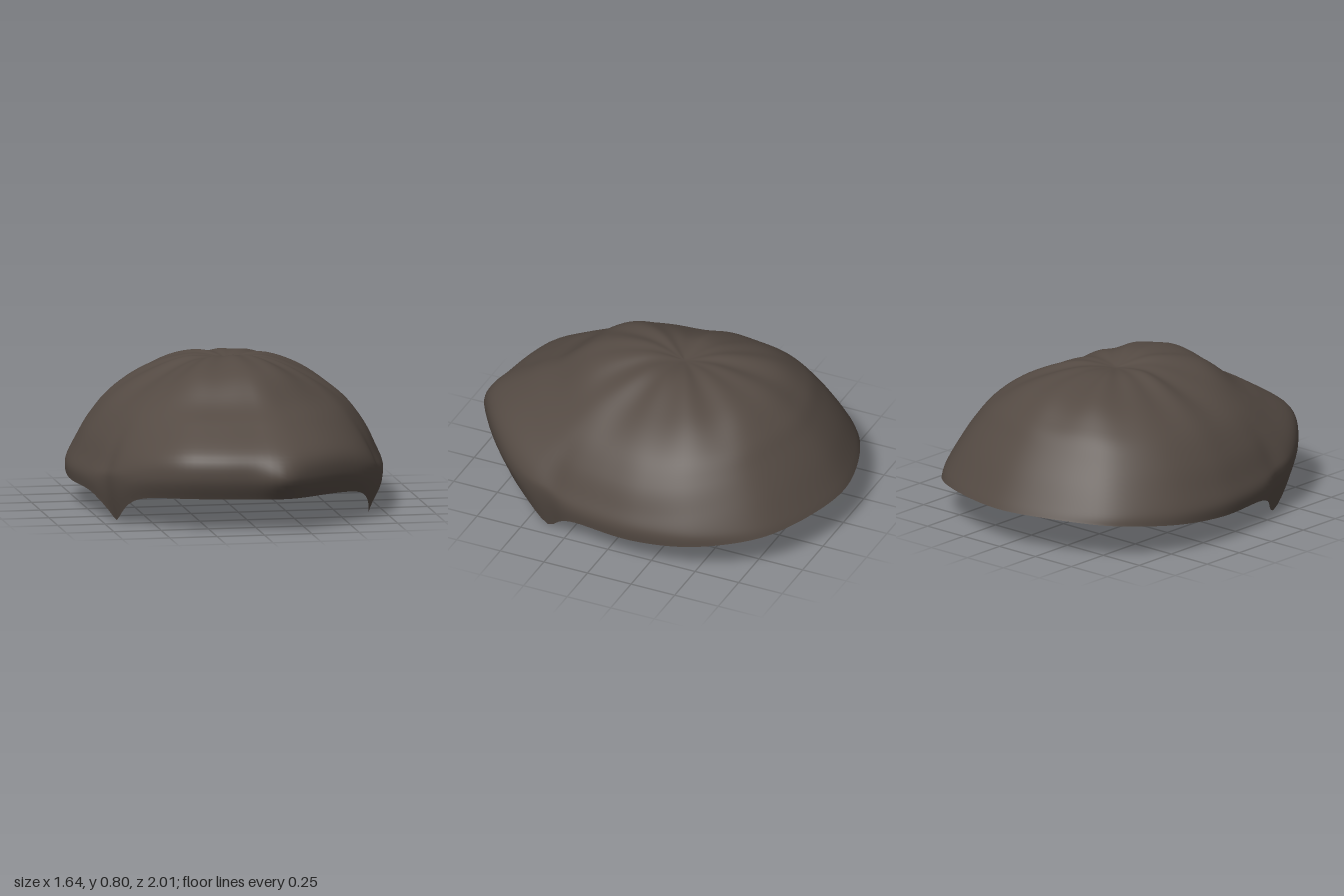
import * as THREE from 'three';

const CROWN_Z = -0.09;
const CROWN_Y = 0.75;
const SEGMENTS = 144;
const RINGS = 40;

// Widest outline in plan (x, z), from the front round past the left side
const OUTLINE = [
  [0, 0.955], [0.1, 0.97], [0.2, 0.953], [0.4, 0.825], [0.59, 0.64], [0.69, 0.48], [0.74, 0.33],
  [0.8, 0.05], [0.82, -0.2], [0.77, -0.5], [0.6, -0.78], [0.4, -0.91], [0.1, -0.998],
  [-0.1, -0.998], [-0.4, -0.91], [-0.6, -0.78], [-0.77, -0.5], [-0.82, -0.2], [-0.8, 0.05],
  [-0.74, 0.35], [-0.69, 0.5], [-0.58, 0.68], [-0.41, 0.85], [-0.22, 0.92],
];

// Crown-to-rim profiles: fraction of the outline radius, height
const profile = (points) => new THREE.SplineCurve(points.map(([r, y]) => new THREE.Vector2(r, y)));
const FRONT = profile([[0, CROWN_Y], [0.2, 0.795], [0.46, 0.745], [0.65, 0.605], [0.79, 0.525], [0.97, 0.4], [1, 0.28], [0.955, 0.168]]);
const SIDE = profile([[0, CROWN_Y], [0.25, 0.76], [0.53, 0.665], [0.74, 0.55], [0.88, 0.41], [0.96, 0.28], [1, 0.2], [0.995, 0.13]]);
const BACK = profile([[0, CROWN_Y], [0.22, 0.765], [0.5, 0.71], [0.68, 0.605], [0.78, 0.505], [0.88, 0.385], [0.97, 0.25], [1, 0.2]]);

const { smoothstep, radToDeg } = THREE.MathUtils;

function shellPoint(edge, t) {
  const dx = edge.x, dz = edge.z - CROWN_Z;
  const angle = radToDeg(Math.atan2(Math.abs(dx), dz));
  const turn = Math.atan2(dx, dz);

  // Blend the front, side and back profiles round the head
  const front = 1 - smoothstep(angle, 18, 68);
  const back = smoothstep(angle, 85, 165);
  const p = SIDE.getPoint(t)
    .multiplyScalar(1 - front - back)
    .addScaledVector(FRONT.getPoint(t), front)
    .addScaledVector(BACK.getPoint(t), back);

  // Pointed tab in front of each ear
  const tab = Math.exp(-Math.pow(Math.abs(angle - 54.5) / 8.5, 1.6)) * smoothstep(t, 0.8, 1);
  p.y -= 0.142 * tab;
  p.x -= 0.05 * tab;

  // Shallow crease at each temple, where the fringe meets the side
  p.x -= 0.015 * Math.exp(-Math.pow((angle - 58) / 5, 2)) * smoothstep(t, 0.45, 0.75);

  // Small bump on the front edge, just left of centre
  p.x += 0.03 * Math.exp(-Math.pow((turn - 0.09) / 0.09, 2) - Math.pow((t - 0.86) / 0.09, 2));

  // Soft folds running out from the crown
  const fade = smoothstep(t, 0.03, 0.22) * (1 - smoothstep(t, 0.22, 0.6));
  p.y += fade * (0.005 * Math.sin(turn * 7 + 0.6) + 0.005 * Math.sin(turn * 12 + 2));

  return [dx * p.x, p.y, CROWN_Z + dz * p.x];
}

function shellGeometry() {
  const outline = new THREE.CatmullRomCurve3(OUTLINE.map(([x, z]) => new THREE.Vector3(x, 0, z)), true);
  const edges = outline.getSpacedPoints(SEGMENTS);
  const positions = [0, CROWN_Y, CROWN_Z];
  const index = [];
  const at = (ring, i) => 1 + (ring - 1) * SEGMENTS + (i % SEGMENTS);

  for (let ring = 1; ring <= RINGS; ring++) {
    for (let i = 0; i < SEGMENTS; i++) {
      positions.push(...shellPoint(edges[i], ring / RINGS));
      if (ring === 1) {
        index.push(0, at(1, i), at(1, i + 1));
      } else {
        const a = at(ring - 1, i), b = at(ring, i), c = at(ring, i + 1), d = at(ring - 1, i + 1);
        index.push(a, b, c, a, c, d);
      }
    }
  }

  const geometry = new THREE.BufferGeometry();
  geometry.setAttribute('position', new THREE.Float32BufferAttribute(positions, 3));
  geometry.setIndex(index);
  geometry.computeVertexNormals();
  return geometry;
}

export function createModel() {
  const group = new THREE.Group();
  group.name = 'hairCap';

  const darkBrown = new THREE.MeshStandardMaterial({ color: 0x544a43, side: THREE.DoubleSide });
  darkBrown.name = 'darkBrown';

  // Open, thin shell with a rolled-under front
  const shell = new THREE.Mesh(shellGeometry(), darkBrown);
  shell.name = 'hairShell';
  group.add(shell);
  return group;
}
